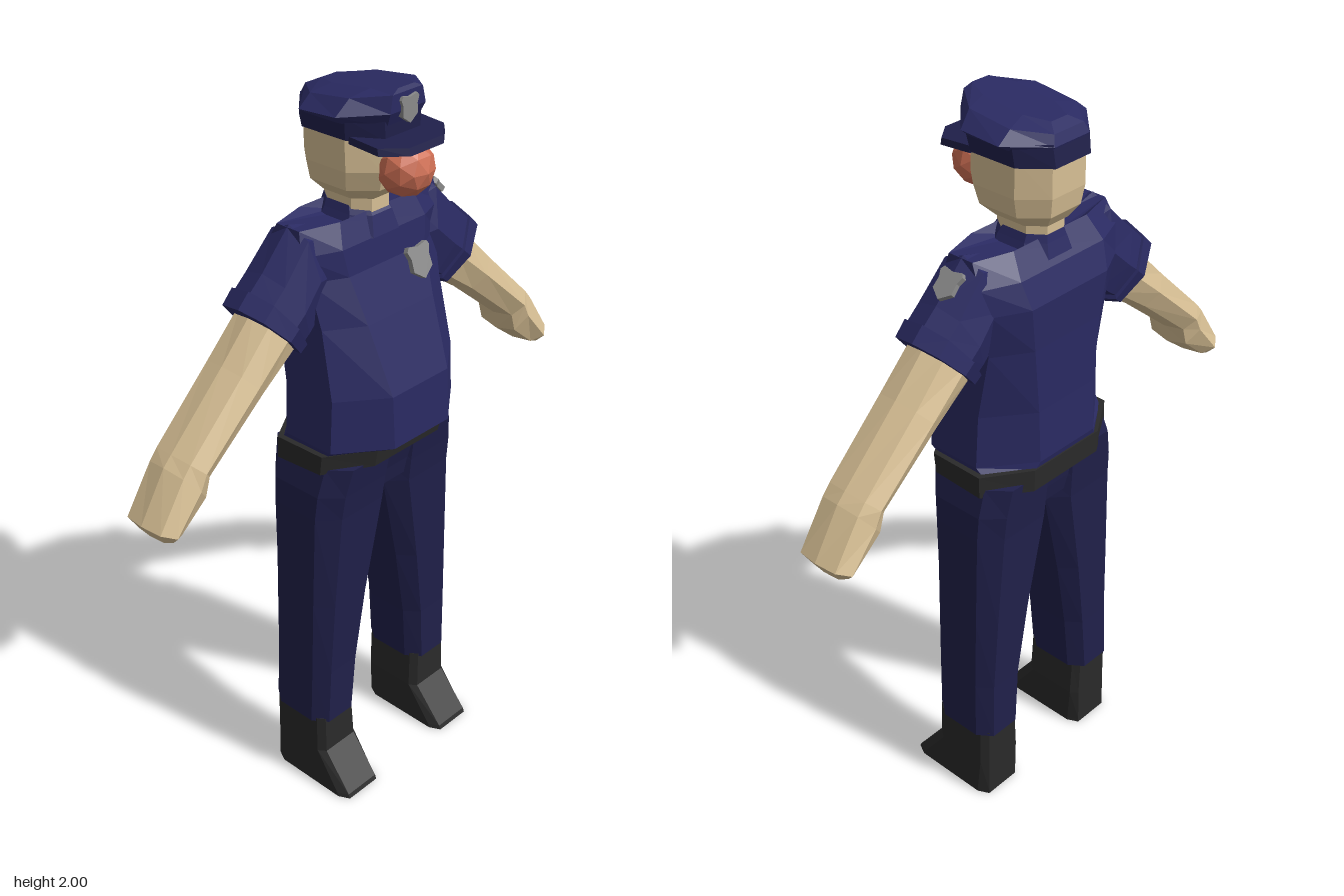
import * as THREE from 'three';

const SHIRT = 0x2a2a62, TROUSERS = 0x20204a, SKIN = 0xd8c095, BLACK = 0x2a2a2a, METAL = 0x8a8a8a, NOSE = 0xd07055;

function makeMesh(name, geometry, color) {
  const mesh = new THREE.Mesh(geometry, new THREE.MeshStandardMaterial({ color, flatShading: true }));
  mesh.name = name;
  return mesh;
}

// Closed skin through rings of equal point count, turned to face outward
function loft(name, rings, color) {
  const n = rings[0].length, tris = [];
  for (let i = 0; i < rings.length - 1; i++) {
    for (let j = 0; j < n; j++) {
      const k = (j + 1) % n, a = rings[i], b = rings[i + 1];
      tris.push([a[j], a[k], b[k]], [a[j], b[k], b[j]]);
    }
  }
  const first = rings[0], last = rings[rings.length - 1];
  for (let j = 1; j < n - 1; j++) {
    tris.push([first[0], first[j + 1], first[j]], [last[0], last[j], last[j + 1]]);
  }
  const cross = new THREE.Vector3();
  let volume = 0;
  for (const [a, b, c] of tris) volume += a.dot(cross.crossVectors(b, c));
  const points = tris.flatMap(([a, b, c]) => (volume > 0 ? [a, b, c] : [a, c, b]));
  const geometry = new THREE.BufferGeometry().setFromPoints(points);
  geometry.computeVertexNormals();
  return makeMesh(name, geometry, color);
}

// Level eight-sided ring: back x, front x, half width, flat share, tilt, z centre
function ring(y, xb, xf, w, flat = 0.5, tilt = 0, z0 = 0) {
  const m = (xb + xf) / 2, h = (xf - xb) / 2;
  return [[1, flat], [flat, 1], [-flat, 1], [-1, flat], [-1, -flat], [-flat, -1], [flat, -1], [1, -flat]]
    .map(([x, z]) => new THREE.Vector3(m + x * h, y + tilt * (m + x * h), z0 + z * w));
}

// Limb ring between an upper and a lower (z, y) point, with half depth h along x
function limbRing(side, [z1, y1, z2, y2, h], x0 = -0.05) {
  return [[0, 1], [0.72, 0.8], [1, 0], [0.72, -0.8], [0, -1], [-0.72, -0.8], [-1, 0], [-0.72, 0.8]]
    .map(([x, t]) => new THREE.Vector3(
      x0 + x * h,
      (y1 + y2) / 2 + t * (y1 - y2) / 2,
      side * ((z1 + z2) / 2 + t * (z1 - z2) / 2)));
}

// Shield plate facing a yaw, leaning back by a tilt
function badge(name, size, position, yaw, tilt) {
  const shape = new THREE.Shape([
    [-0.4, 0.5], [0, 0.42], [0.4, 0.5], [0.5, 0.36], [0.4, 0.1], [0.42, -0.3], [0, -0.6], [-0.42, -0.3], [-0.4, 0.1], [-0.5, 0.36],
  ].map(([x, y]) => new THREE.Vector2(x * size, y * size)));
  const mesh = makeMesh(name, new THREE.ExtrudeGeometry(shape, { depth: 0.014, bevelEnabled: false }), METAL);
  mesh.rotation.set(-tilt, yaw, 0, 'YXZ');
  mesh.position.set(...position);
  return mesh;
}

export function createModel() {
  const model = new THREE.Group();
  model.name = 'officer';

  // Trunk
  model.add(loft('shirt', [
    ring(1.085, -0.175, 0.13, 0.225, 0.5),
    ring(1.105, -0.18, 0.175, 0.23, 0.44),
    ring(1.25, -0.175, 0.168, 0.222, 0.46),
    ring(1.43, -0.175, 0.1, 0.215, 0.55),
    ring(1.55, -0.18, 0.055, 0.225, 0.6),
    ring(1.62, -0.155, 0.045, 0.245, 0.6),
    ring(1.68, -0.115, 0.02, 0.235, 0.55),
    ring(1.65, -0.1, 0.0, 0.06, 0.6),
  ], SHIRT));
  model.add(loft('collar', [
    ring(1.62, -0.15, 0.05, 0.09), ring(1.67, -0.135, 0.035, 0.068), ring(1.69, -0.13, 0.02, 0.06),
  ], SHIRT));
  model.add(loft('belt', [
    ring(1.035, -0.178, 0.125, 0.242, 0.5, 0.06), ring(1.092, -0.18, 0.135, 0.242, 0.5, 0.02),
  ], BLACK));
  model.add(loft('hips', [
    ring(0.93, -0.14, 0.08, 0.1, 0.6), ring(0.98, -0.15, 0.09, 0.21, 0.55), ring(1.05, -0.16, 0.11, 0.225),
  ], TROUSERS));

  // Legs, boots and arms on both sides
  for (const side of [1, -1]) {
    const label = side < 0 ? 'left' : 'right';
    // y, back x, front x, inner z, outer z
    const legRing = ([y, xb, xf, zi, zo], flat) => ring(y, xb, xf, (zo - zi) / 2, flat, 0, side * (zi + zo) / 2);
    model.add(loft(label + 'Leg', [
      [0.225, -0.14, 0.062, 0.12, 0.268],
      [0.4, -0.137, 0.067, 0.105, 0.264],
      [0.62, -0.143, 0.075, 0.066, 0.26],
      [0.9, -0.152, 0.088, 0.002, 0.255],
      [0.97, -0.157, 0.097, 0, 0.25],
      [1.05, -0.163, 0.11, 0, 0.23],
    ].map((r) => legRing(r, 0.6)), TROUSERS));
    model.add(loft(label + 'Boot', [
      [0, -0.13, 0.15, 0.125, 0.265],
      [0.012, -0.13, 0.145, 0.125, 0.265],
      [0.12, -0.13, 0.058, 0.122, 0.262],
      [0.235, -0.13, 0.055, 0.128, 0.26],
    ].map((r) => legRing(r, 0.78)), BLACK));

    const limb = (name, sections, color) => loft(label + name, sections.map((s) => limbRing(side, s)), color);
    model.add(limb('Sleeve', [
      [0.14, 1.66, 0.14, 1.44, 0.07],
      [0.23, 1.685, 0.19, 1.43, 0.085],
      [0.32, 1.59, 0.225, 1.405, 0.092],
      [0.36, 1.555, 0.24, 1.395, 0.092],
      [0.365, 1.56, 0.235, 1.385, 0.1],
      [0.4, 1.525, 0.255, 1.37, 0.098],
    ], SHIRT));
    model.add(limb('Arm', [
      [0.345, 1.52, 0.25, 1.4, 0.08],
      [0.46, 1.4, 0.38, 1.31, 0.083],
      [0.63, 1.235, 0.56, 1.165, 0.083],
      [0.655, 1.21, 0.575, 1.11, 0.083],
      [0.735, 1.085, 0.655, 1.05, 0.083],
      [0.71, 1.045, 0.67, 1.045, 0.06],
    ], SKIN));
  }

  // Head
  model.add(loft('neck', [ring(1.62, -0.13, 0.03, 0.06), ring(1.75, -0.13, 0.03, 0.06)], SKIN));
  model.add(loft('head', [
    ring(1.715, -0.135, 0.04, 0.07), ring(1.75, -0.16, 0.075, 0.105),
    ring(1.8, -0.168, 0.09, 0.115), ring(1.9, -0.168, 0.085, 0.115),
  ], SKIN));
  const nose = makeMesh('nose', new THREE.IcosahedronGeometry(0.072, 1), NOSE);
  nose.position.set(0.108, 1.805, 0);
  model.add(nose);

  // Peaked cap
  model.add(loft('capBand', [
    ring(1.88, -0.18, 0.1, 0.12), ring(1.935, -0.172, 0.1, 0.125),
  ], TROUSERS));
  model.add(loft('capCrown', [
    ring(1.915, -0.17, 0.1, 0.118, 0.45),
    ring(1.94, -0.175, 0.115, 0.15, 0.4, 0.06),
    ring(1.975, -0.165, 0.113, 0.112, 0.45, 0.12),
    ring(1.986, -0.135, 0.108, 0.055, 0.5, 0.12),
  ], SHIRT));
  model.add(loft('capPeak', [
    ring(1.875, -0.01, 0.175, 0.115, 0.5, -0.07), ring(1.893, -0.01, 0.17, 0.115, 0.5, -0.07),
  ], TROUSERS));

  // Badges
  model.add(badge('chestBadge', 0.08, [0.071, 1.525, -0.09], Math.PI / 2, 0.35));
  model.add(badge('capBadge', 0.06, [0.108, 1.95, 0], Math.PI / 2, 0.02));
  model.add(badge('sleeveBadge', 0.07, [-0.055, 1.63, -0.28], Math.PI, Math.PI / 4));
  return model;
}
